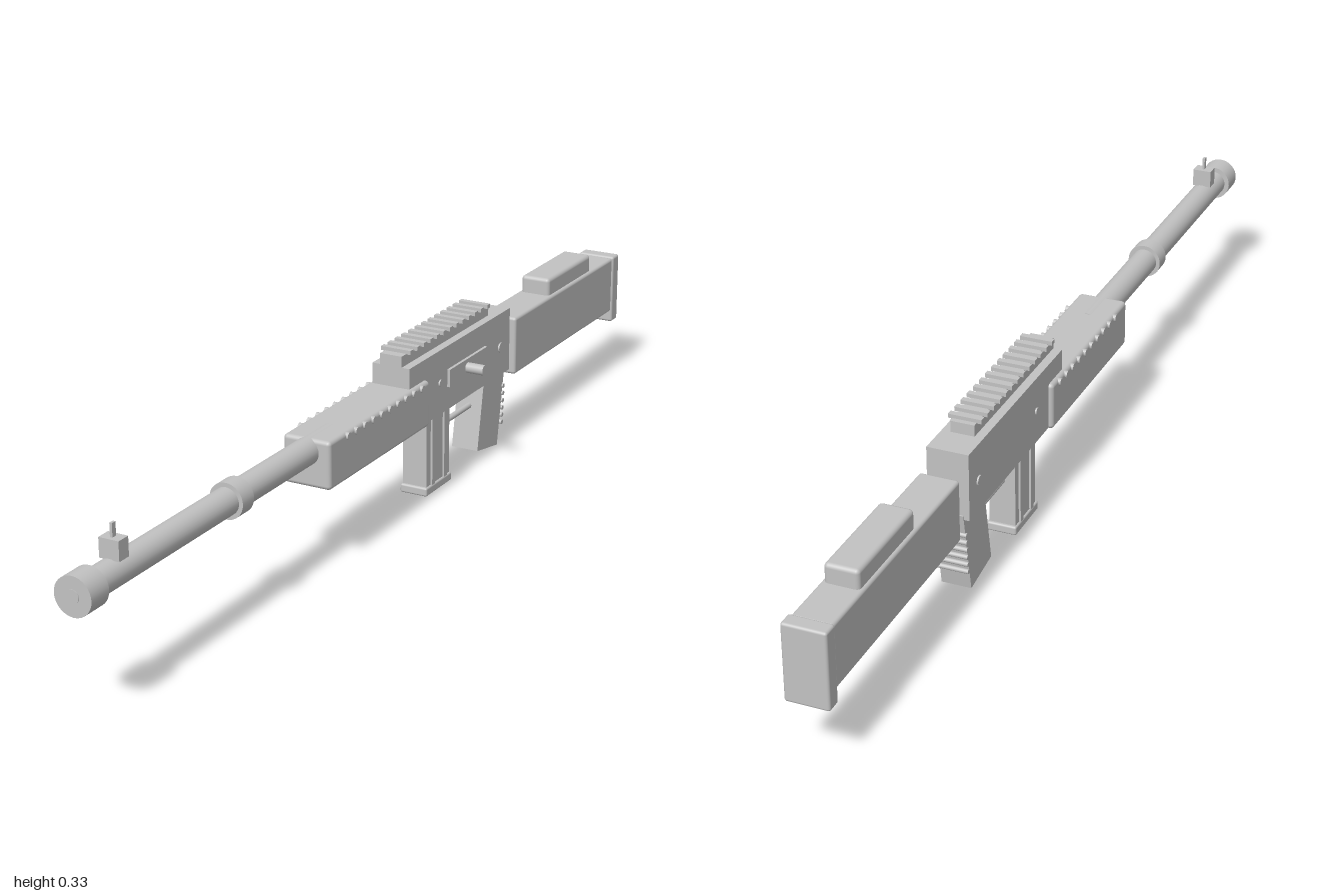
import * as THREE from 'three';
import { RoundedBoxGeometry } from 'three/addons/geometries/RoundedBoxGeometry.js';

export function createModel() {
  const model = new THREE.Group();
  model.name = 'rifle';
  const grey = new THREE.MeshStandardMaterial({ color: 0xc2c2c2 });
  grey.name = 'light metal grey';
  const axisX = -0.0155, boreY = 0.231;

  const add = (name, geometry, x, y, z) => {
    const mesh = new THREE.Mesh(geometry, grey);
    mesh.name = name;
    mesh.position.set(x, y, z);
    model.add(mesh);
    return mesh;
  };
  // Box on the centre plane given by width and its y and z ranges
  const block = (name, w, y0, y1, z0, z1, bevel = 0, x = axisX) => {
    const h = y1 - y0, d = z1 - z0;
    const geometry = bevel ? new RoundedBoxGeometry(w, h, d, 3, bevel) : new THREE.BoxGeometry(w, h, d);
    return add(name, geometry, x, (y0 + y1) / 2, (z0 + z1) / 2);
  };
  // Cylinder along z from z0 to z1
  const tubeZ = (name, r, z0, z1, y = boreY) =>
    add(name, new THREE.CylinderGeometry(r, r, z1 - z0, 32).rotateX(Math.PI / 2), axisX, y, (z0 + z1) / 2);
  // Cylinder along x
  const rodX = (name, r, length, x, y, z) =>
    add(name, new THREE.CylinderGeometry(r, r, length, 20).rotateZ(Math.PI / 2), x, y, z);

  // Barrel
  tubeZ('barrel', 0.026, 0.2, 0.97);
  tubeZ('muzzle', 0.036, 0.951, 0.999);
  tubeZ('bore', 0.0125, 0.995, 1.0);
  tubeZ('barrelCollar', 0.034, 0.517, 0.553);
  block('frontSightBase', 0.039, 0.255, 0.291, 0.871, 0.898);
  block('frontSightPost', 0.005, 0.29, 0.316, 0.88, 0.89);

  // Handguard with a row of cross ridges
  block('handguard', 0.098, 0.162, 0.256, -0.097, 0.285, 0.008);
  for (let i = 0; i < 10; i++) rodX('handguardRidge', 0.007, 0.106, axisX, 0.248, 0.22 - i * 0.0315);

  // Receiver
  block('receiver', 0.08, 0.165, 0.297, -0.457, -0.03);
  rodX('frontPin', 0.007, 0.086, axisX, 0.23, -0.155);
  rodX('rearPin', 0.01, 0.086, axisX, 0.225, -0.415);
  block('ejectionPlate', 0.008, 0.213, 0.249, -0.345, -0.185, 0, 0.0265);
  rodX('boltHandle', 0.0105, 0.05, 0.043, boreY, -0.26);

  // Top rail
  block('railBase', 0.046, 0.295, 0.319, -0.393, -0.03);
  for (let i = 0; i < 13; i++) {
    const z = -0.055 - i * 0.0268;
    block('railTooth', 0.064, 0.318, 0.326, z - 0.006, z + 0.006);
  }

  // Magazine with upright ribs
  block('magazine', 0.052, 0.01, 0.18, -0.222, -0.127);
  block('magazineBase', 0.059, 0.001, 0.019, -0.228, -0.121, 0.004);
  for (const side of [-1, 1])
    for (const z of [-0.15, -0.2])
      block('magazineRib', 0.006, 0.019, 0.166, z - 0.006, z + 0.006, 0, axisX + side * 0.027);

  // Trigger and guard
  tubeZ('triggerGuard', 0.006, -0.36, -0.215, 0.112);
  rodX('trigger', 0.011, 0.016, axisX, 0.16, -0.28);

  // Tilted grip with finger ridges behind
  const grip = add('grip', new THREE.BoxGeometry(0.058, 0.168, 0.09), axisX, 0.098, -0.4);
  grip.rotation.x = -0.175;
  for (let i = 0; i < 6; i++) rodX('gripRidge', 0.0045, 0.064, axisX, 0.13 - i * 0.0155, -0.451 + i * 0.001);

  // Stock
  block('stock', 0.076, 0.143, 0.265, -0.972, -0.489, 0.006);
  block('buttPlate', 0.082, 0.119, 0.268, -1, -0.969, 0.005);
  block('cheekRest', 0.064, 0.255, 0.301, -0.866, -0.657, 0.008);
  return model;
}
